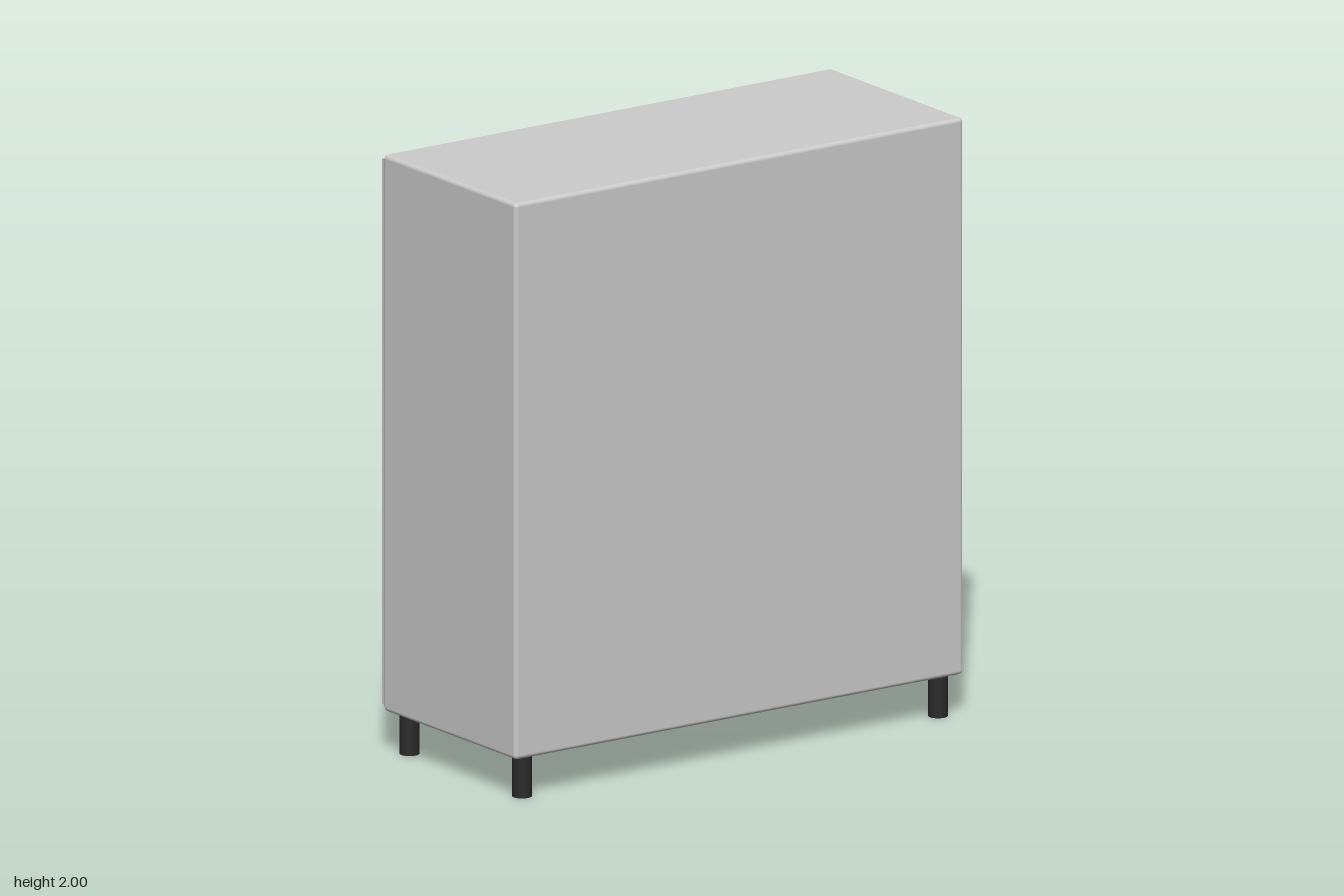
import * as THREE from 'three';
import { RoundedBoxGeometry } from 'three/addons/geometries/RoundedBoxGeometry.js';

const grey = new THREE.MeshStandardMaterial({ color: 0xcccccc });
const dark = new THREE.MeshStandardMaterial({ color: 0x2a2a2a });

export function createModel() {
  const group = new THREE.Group();

  const add = (name, geometry, material, x, y, z) => {
    const mesh = new THREE.Mesh(geometry, material);
    mesh.name = name;
    mesh.position.set(x, y, z);
    group.add(mesh);
    return mesh;
  };

  // Cabinet body with softened edges
  add('body', new RoundedBoxGeometry(1.774, 1.86, 0.733, 3, 0.014), grey, 0, 1.07, 0.0215);

  const doorGeometry = new THREE.BoxGeometry(0.874, 1.824, 0.018);
  const handleGeometry = new THREE.CylinderGeometry(1, 1, 0.355, 24);
  handleGeometry.scale(0.018, 1, 0.0135); // flattened to an oval bar
  const legGeometry = new THREE.CylinderGeometry(0.032, 0.032, 0.145, 24);

  for (const side of [1, -1]) {
    const prefix = side > 0 ? 'left' : 'right';
    // Doors and handles sit on the -z face
    add(prefix + 'Door', doorGeometry, grey, side * 0.442, 1.07, -0.353);
    add(prefix + 'Handle', handleGeometry, dark, side * 0.09, 1.337, -0.3745);
    // Legs
    add(prefix + 'FrontLeg', legGeometry, dark, side * 0.823, 0.0725, 0.335);
    add(prefix + 'BackLeg', legGeometry, dark, side * 0.823, 0.0725, -0.288);
  }
  return group;
}
